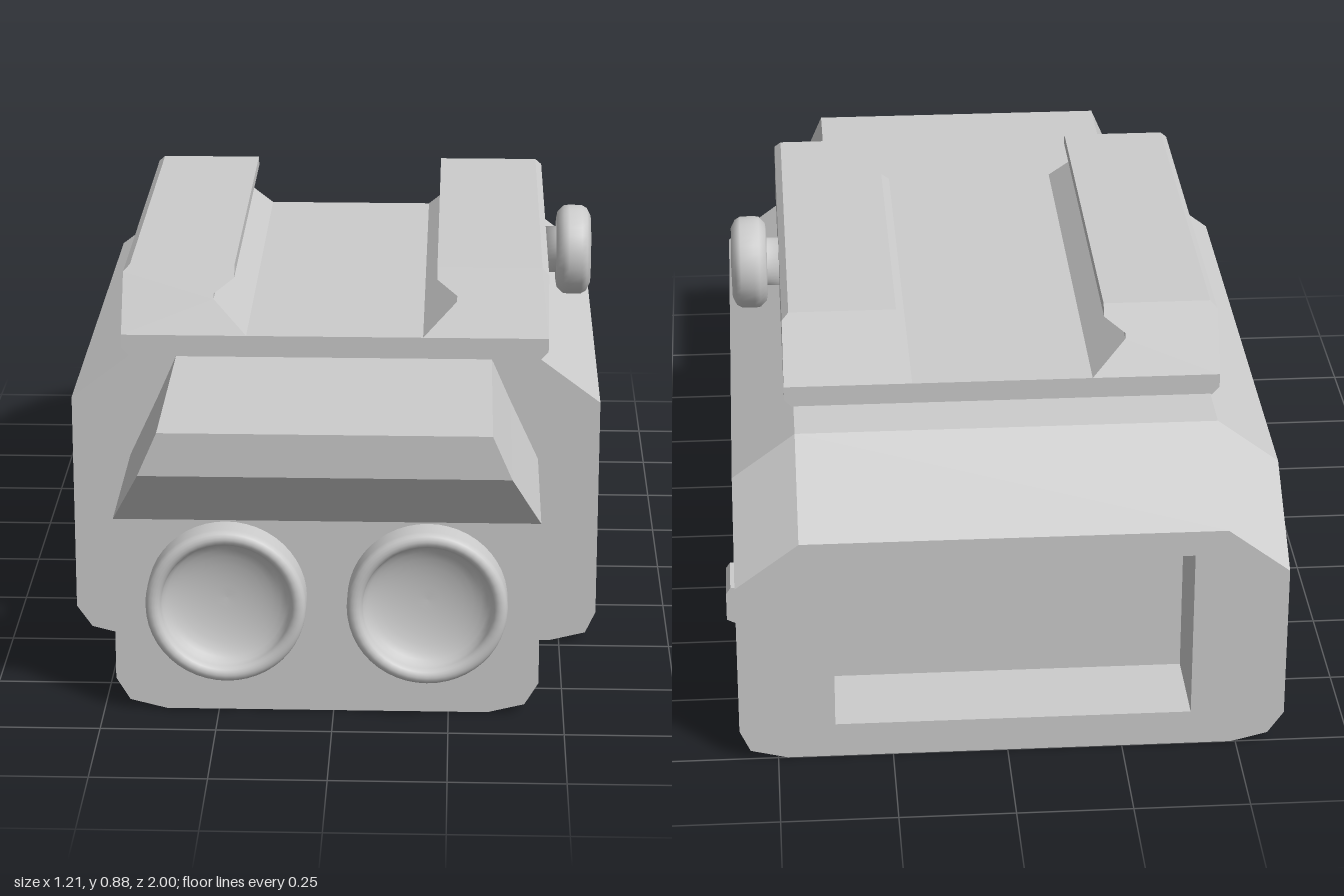
import * as THREE from 'three';
import { RoundedBoxGeometry } from 'three/addons/geometries/RoundedBoxGeometry.js';

const grey = new THREE.MeshStandardMaterial({ color: 0xcccccc, side: THREE.DoubleSide });

function add(parent, name, geometry, x = 0, y = 0, z = 0) {
  const mesh = new THREE.Mesh(geometry, grey);
  mesh.name = name;
  mesh.position.set(x, y, z);
  parent.add(mesh);
  return mesh;
}

const polygon = (points) => new THREE.Shape(points.map(([x, y]) => new THREE.Vector2(x, y)));

function cutRect(shape, x0, x1, y0, y1) {
  shape.holes.push(new THREE.Path([[x0, y0], [x0, y1], [x1, y1], [x1, y0]].map(([x, y]) => new THREE.Vector2(x, y))));
}

// Flat-faced skin over convex rings, optionally leaving out one strip and either cap
function loft(rings, { skip = -1, start = true, end = true } = {}) {
  const out = [];
  const n = rings[0].length;
  const tri = (...corners) => corners.forEach((p) => out.push(...p));
  for (let r = 0; r < rings.length - 1; r++) {
    const a = rings[r], b = rings[r + 1];
    for (let i = 0; i < n; i++) {
      if (i === skip) continue;
      const j = (i + 1) % n;
      tri(a[i], b[i], b[j]);
      tri(a[i], b[j], a[j]);
    }
  }
  const last = rings[rings.length - 1];
  for (let i = 1; i < n - 1; i++) {
    if (start) tri(rings[0][0], rings[0][i], rings[0][i + 1]);
    if (end) tri(last[0], last[i + 1], last[i]);
  }
  const g = new THREE.BufferGeometry();
  g.setAttribute('position', new THREE.Float32BufferAttribute(out, 3));
  g.computeVertexNormals();
  return g;
}

// Box without its +z face, its opening lying at z = 0
function pocket(w, h, d) {
  const g = new THREE.BoxGeometry(w, h, d).translate(0, 0, -d / 2);
  const index = Array.from(g.index.array);
  index.splice(24, 6);
  g.setIndex(index);
  g.clearGroups();
  return g;
}

export function createModel() {
  const model = new THREE.Group();
  const side = 0.583;

  // Main housing: the top and shoulders drop towards the back
  const section = (z, drop) => [
    [-0.49, 0, z], [0.48, 0, z], [0.56, 0.02, z], [side, 0.07, z], [side, 0.575 - drop, z],
    [0.445, 0.678 - drop, z], [-0.47, 0.678 - drop, z], [-0.605, 0.575 - drop, z], [-0.605, 0.07, z], [-0.57, 0.02, z],
  ];
  add(model, 'housing', loft([section(0.47, 0), section(-0.78, 0), section(-1, 0.15)], { skip: 3, end: false }));

  // Back face with its battery-bay opening
  const back = polygon(section(-1, 0.15));
  cutRect(back, -0.4, 0.375, 0.08, 0.47);
  add(model, 'backFace', new THREE.ShapeGeometry(back), 0, 0, -1);
  add(model, 'backBay', pocket(0.775, 0.39, 0.2), -0.0125, 0.275, -1).rotation.y = Math.PI;

  // Left wall with the button and lever recesses, drawn in (-z, y)
  const wall = polygon([[-0.47, 0.07], [1, 0.07], [1, 0.425], [0.78, 0.575], [-0.47, 0.575]]);
  const recesses = [
    ['buttonRecess', -0.41, 0.06, 0.285, 0.545, 0.07],
    ['leverRecess', 0.61, 0.76, 0.075, 0.32, 0.06],
  ];
  for (const [name, u0, u1, y0, y1, depth] of recesses) {
    cutRect(wall, u0, u1, y0, y1);
    add(model, name, pocket(u1 - u0, y1 - y0, depth), side, (y0 + y1) / 2, -(u0 + u1) / 2).rotation.y = Math.PI / 2;
  }
  add(model, 'leftWall', new THREE.ShapeGeometry(wall).rotateY(Math.PI / 2), side, 0, 0);

  // Two push buttons
  for (const z of [0.2825, 0.0625]) {
    add(model, 'button', new RoundedBoxGeometry(0.09, 0.185, 0.185, 4, 0.035), 0.532, 0.413, z);
  }

  // Latch lever with a small thumb tab
  const lever = polygon([[0.52, 0.02], [0.56, 0.02], [0.585, 0.06], [0.585, 0.19], [0.605, 0.2], [0.605, 0.265], [0.595, 0.28], [0.52, 0.28]]);
  add(model, 'lever', new THREE.ExtrudeGeometry(lever, { depth: 0.115, bevelEnabled: false }), 0, 0, -0.742);

  // Front block with an overhanging brow, as level slices: y, half width, front z
  const slices = [
    [0.676, 0.353, 1], [0.58, 0.395, 1], [0.44, 0.46, 0.885], [0.07, 0.46, 0.885], [0.02, 0.43, 0.885], [0, 0.35, 0.885],
  ];
  add(model, 'frontBlock', loft(slices.map(([y, w, z]) => {
    const c = -0.0145;
    return [[c - w, y, z], [c + w, y, z], [c + w, y, 0.47], [c - w, y, 0.47]];
  })));

  // Lens barrels: rounded lip around a concave bowl
  const barrel = [[0.173, 0], [0.173, 0.05]];
  for (let i = 1; i <= 8; i++) {
    const a = (i / 8) * Math.PI;
    barrel.push([0.1565 + 0.0165 * Math.cos(a), 0.054 + 0.0165 * Math.sin(a)]);
  }
  for (let i = 1; i <= 8; i++) {
    const a = (i / 8) * Math.PI / 2;
    barrel.push([0.14 * Math.cos(a), 0.05 - 0.046 * Math.sin(a)]);
  }
  const barrelGeometry = new THREE.LatheGeometry(barrel.map(([r, h]) => new THREE.Vector2(Math.max(r, 0), h)), 48).rotateX(Math.PI / 2);
  for (const x of [-0.23, 0.203]) add(model, 'lensBarrel', barrelGeometry, x, 0.264, 0.885);

  // Rail clamp: a base plate and two mirrored jaws with sloped ends
  const mount = new THREE.Group();
  mount.name = 'railClamp';
  mount.position.set(-0.0125, 0, -0.0875);
  model.add(mount);
  const length = 1.125;
  const extrude = (points) => new THREE.ExtrudeGeometry(polygon(points), { depth: length, bevelEnabled: false }).translate(0, 0, -length / 2);
  add(mount, 'clampBase', extrude([[-0.455, 0.67], [0.455, 0.67], [0.4775, 0.695], [0.4775, 0.725], [-0.4775, 0.725], [-0.4775, 0.695]]));
  const jaw = [
    [0.1975, 0.725], [0.4775, 0.725], [0.4775, 0.85], [0.4625, 0.865], [0.2275, 0.865], [0.2275, 0.84], [0.2725, 0.808], [0.2725, 0.797],
  ];
  for (const s of [1, -1]) {
    const g = extrude(jaw.map(([x, y]) => [s * x, y]));
    const p = g.attributes.position;
    for (let i = 0; i < p.count; i++) {
      const z = p.getZ(i);
      p.setZ(i, z - Math.sign(z) * (p.getY(i) - 0.725) * 0.6);
    }
    g.computeVertexNormals();
    add(mount, s > 0 ? 'leftJaw' : 'rightJaw', g);
  }

  // Clamp screw: thin shaft and rounded knob, turned about the x axis
  const knob = [
    [0, 0], [0.055, 0], [0.055, 0.03], [0.075, 0.03], [0.09, 0.033], [0.104, 0.047], [0.106, 0.06],
    [0.105, 0.09], [0.098, 0.102], [0.08, 0.111], [0, 0.113],
  ];
  const knobGeometry = new THREE.LatheGeometry(knob.map(([r, h]) => new THREE.Vector2(r, h)), 32).rotateZ(-Math.PI / 2);
  add(model, 'clampKnob', knobGeometry, 0.462, 0.77, -0.09);

  return model;
}
